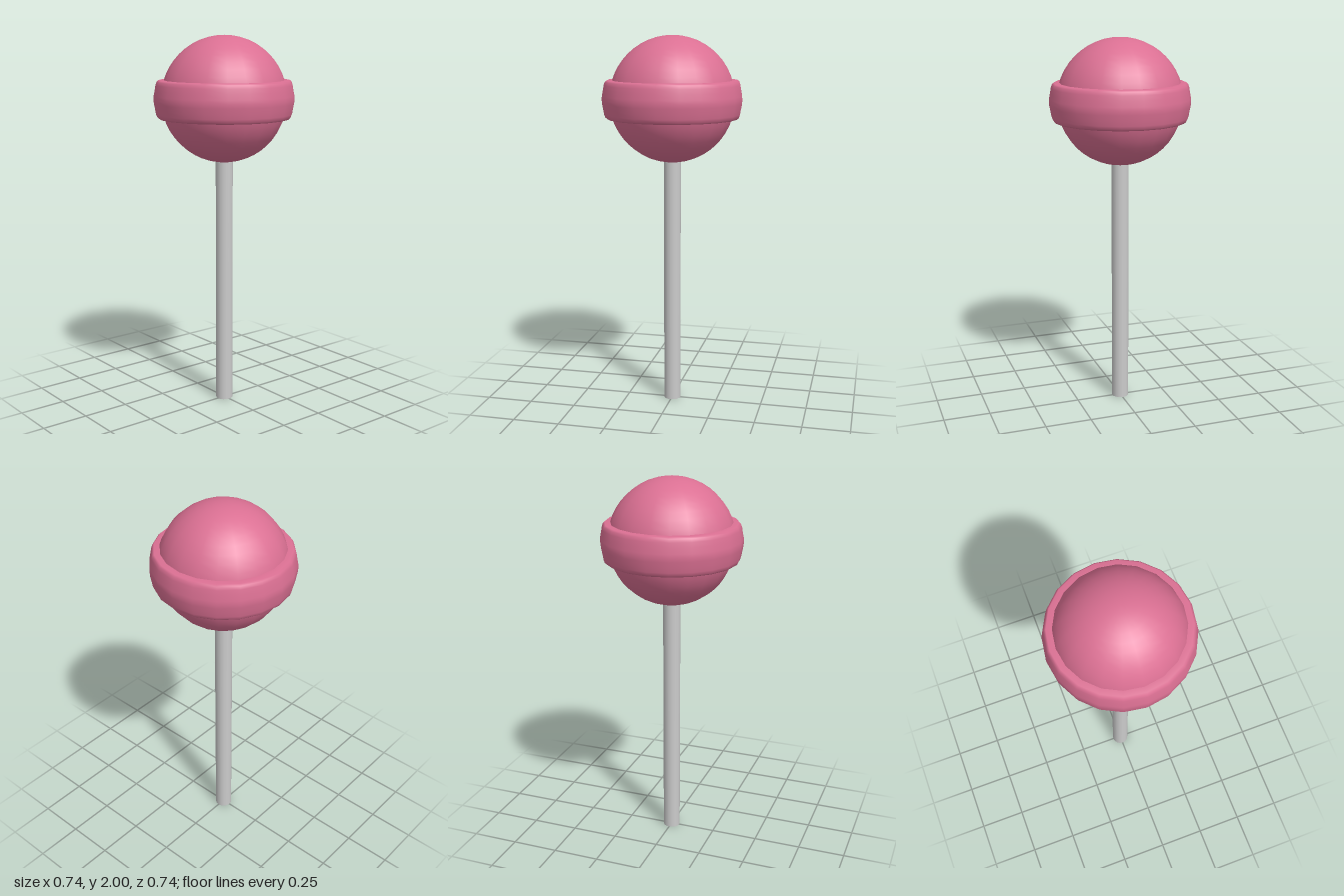
import * as THREE from 'three';

const SIDES = 20;
const CENTRE_Y = 1.667;

export function createModel() {
  const model = new THREE.Group();
  model.name = 'lollipop';
  const candy = new THREE.MeshStandardMaterial({ color: 0xdb7093 });
  const grey = new THREE.MeshStandardMaterial({ color: 0xcccccc });

  function add(name, geometry, material, y) {
    const mesh = new THREE.Mesh(geometry, material);
    mesh.name = name;
    mesh.position.y = y;
    model.add(mesh);
  }

  // Stick, its top hidden inside the candy
  add('stick', new THREE.CylinderGeometry(0.046, 0.046, 1.4, 16), grey, 0.7);

  // Candy ball
  add('candyBall', new THREE.SphereGeometry(0.333, SIDES, 24), candy, CENTRE_Y);

  // Band around the ball: flat top and bottom, rounded rim, gently bulging side
  const upper = [[0.365, 0.05], [0.361, 0.075], [0.355, 0.092], [0.346, 0.1], [0.305, 0.1]];
  const profile = [
    ...upper.map(([r, y]) => new THREE.Vector2(r, -y)).reverse(),
    new THREE.Vector2(0.371, -0.02),
    new THREE.Vector2(0.372, 0),
    new THREE.Vector2(0.371, 0.02),
    ...upper.map(([r, y]) => new THREE.Vector2(r, y)),
  ];
  add('candyBand', new THREE.LatheGeometry(profile, SIDES), candy, CENTRE_Y);

  return model;
}
